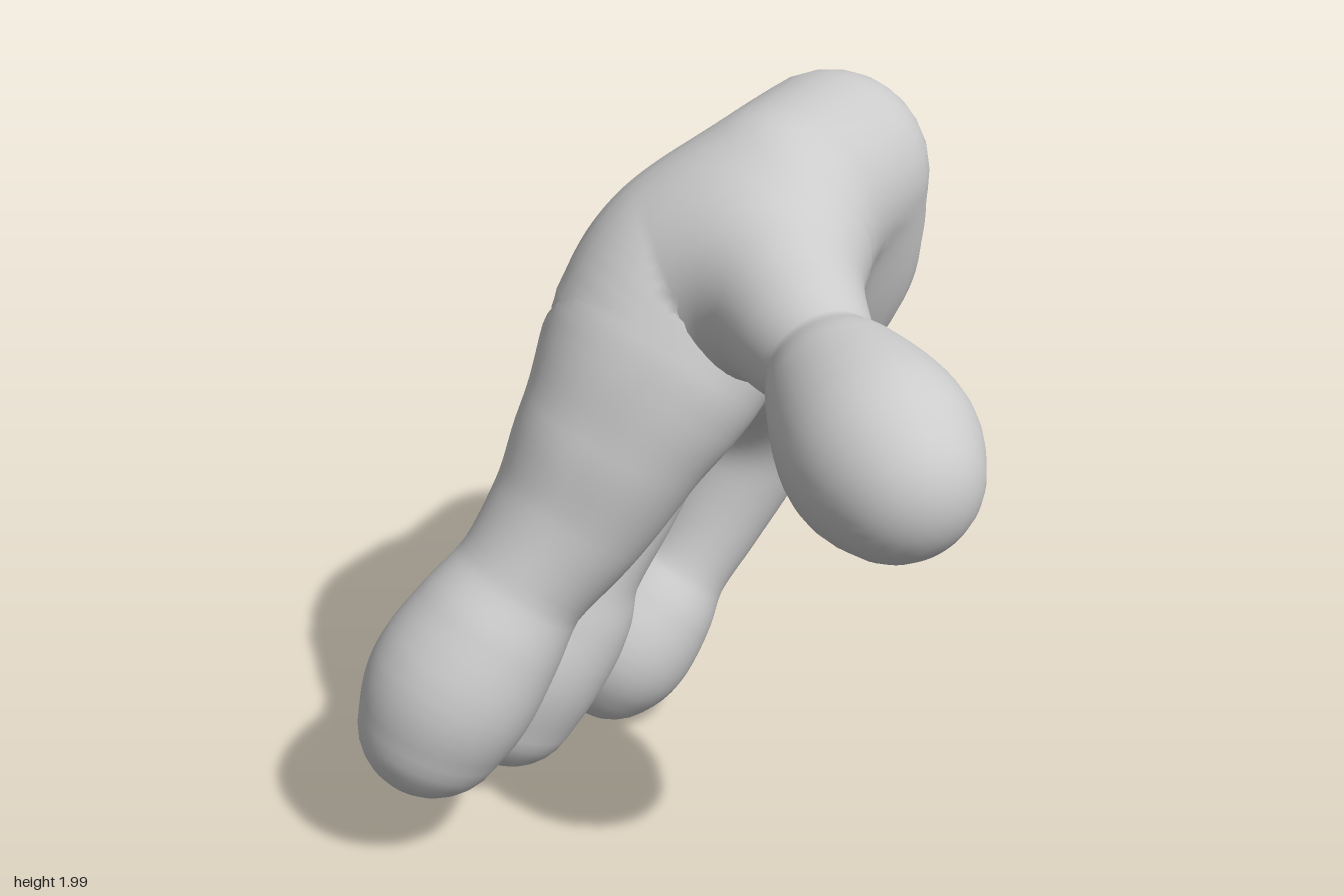
import * as THREE from 'three';

const V = (x, y, z) => new THREE.Vector3(x, y, z);
const SIDES = 44, STEPS = 48, CAP = 8;
const FILLET = 0.16; // width of the soft blend where fingers leave the palm
const SIDEWAYS = V(0.9, -0.42, 0.1).normalize(); // out of the palm's inner face
const AXES = [V(1, 0, 0), V(0, 1, 0), V(0, 0, 1)];
const material = new THREE.MeshStandardMaterial({ color: 0xcccccc });

// A part is a sweep of round-edged sections: segment a to b with radius r
const round = (x, y, z, r) => [V(x, y, z), V(x, y, z), r];

// front end, back end and half thickness, from wrist to knuckles
const PALM = [
  [V(0.08, 1.71, -0.18), V(0.13, 1.705, -0.53), 0.28],
  [V(-0.1, 1.56, -0.03), V(0.06, 1.42, -0.62), 0.3],
  [V(-0.17, 1.43, 0.04), V(-0.06, 1.21, -0.57), 0.285],
];
const FINGERS = {
  indexFinger: [
    round(-0.07, 1.5, 0.04, 0.2),
    [V(-0.18, 1.38, 0.15), V(-0.11, 1.35, 0.15), 0.235],
    [V(-0.28, 1.2, 0.24), V(-0.21, 1.17, 0.24), 0.222],
    [V(-0.36, 0.99, 0.31), V(-0.32, 0.97, 0.31), 0.2],
    round(-0.465, 0.78, 0.41, 0.19), round(-0.545, 0.64, 0.49, 0.222),
    round(-0.61, 0.52, 0.55, 0.237), round(-0.655, 0.41, 0.585, 0.21),
  ],
  middleFinger: [
    round(-0.18, 1.45, -0.25, 0.23), round(-0.265, 1.27, -0.2, 0.225),
    round(-0.28, 1.06, -0.135, 0.195), round(-0.34, 0.86, -0.055, 0.182),
    round(-0.42, 0.65, 0.05, 0.17), round(-0.48, 0.51, 0.085, 0.208),
    round(-0.545, 0.39, 0.14, 0.222), round(-0.595, 0.25, 0.185, 0.192),
  ],
  littleFinger: [
    round(-0.1, 1.27, -0.51, 0.25), round(-0.08, 1.03, -0.57, 0.23),
    round(-0.115, 0.82, -0.55, 0.192), round(-0.19, 0.61, -0.46, 0.157),
    round(-0.265, 0.45, -0.365, 0.142), round(-0.34, 0.34, -0.3, 0.19),
    round(-0.41, 0.25, -0.25, 0.22), round(-0.435, 0.19, -0.225, 0.19),
  ],
  thumb: [
    round(0.07, 1.61, -0.12, 0.2), round(0.13, 1.62, 0.06, 0.24),
    round(0.26, 1.59, 0.27, 0.192), round(0.39, 1.55, 0.43, 0.152),
    round(0.47, 1.515, 0.52, 0.2), round(0.58, 1.46, 0.645, 0.245),
    round(0.64, 1.43, 0.71, 0.217),
  ],
};

// Interpolate a part's sections along smooth curves
function sweep(sections) {
  const curve = (pick) => new THREE.CatmullRomCurve3(sections.map(pick), false, 'catmullrom', 0.5);
  const a = curve((s) => s[0]), b = curve((s) => s[1]), r = curve((s) => V(s[2], 0, 0));
  return Array.from({ length: STEPS + 1 }, (_, i) => {
    const t = i / STEPS;
    const d = a.getTangent(t).add(b.getTangent(t)).normalize();
    return { a: a.getPoint(t), b: b.getPoint(t), r: r.getPoint(t).x, d };
  });
}

// Distance from p to the surface of a sweep
const line = new THREE.Line3(), near = V(0, 0, 0);
function distance(p, part) {
  let best = Infinity;
  for (const { a, b, r } of part) {
    const dist = a.distanceToSquared(b) < 1e-8
      ? p.distanceTo(a)
      : line.set(a, b).closestPointToPoint(p, true, near).distanceTo(p);
    best = Math.min(best, dist - r);
  }
  return best;
}

// Move a skin point onto the soft union of its own part and its neighbours; returns the normal
function settle(p, own, neighbours) {
  const other = (q) => Math.min(...neighbours.map((n) => distance(q, n)));
  const field = (q) => {
    const d0 = distance(q, own), d1 = other(q);
    const h = Math.max(FILLET - Math.abs(d0 - d1), 0) / FILLET;
    return Math.min(d0, d1) - h * h * FILLET / 4;
  };
  const slope = (e) => V(...AXES.map((axis) => (
    field(p.clone().addScaledVector(axis, e)) - field(p.clone().addScaledVector(axis, -e))) / (2 * e)));
  // points past the seam sink gently below the neighbour's skin
  const depth = Math.max(0, -other(p) - 0.012);
  if (depth < 0.15) {
    for (let i = 0; i < 4; i++) {
      const g = slope(0.002);
      p.addScaledVector(g, -(field(p) + depth * 0.8) / Math.max(g.lengthSq(), 0.3));
    }
  }
  return slope(0.02).normalize();
}

// Skin a sweep with rings and rounded ends
function skin(name, part, neighbours) {
  const rows = part.map((s) => ({ s, phi: 0 }));
  for (let i = 1; i <= CAP; i++) {
    const phi = (i / CAP) * Math.PI / 2;
    rows.unshift({ s: part[0], phi: -phi });
    rows.push({ s: part[STEPS], phi });
  }
  const pos = [], normal = [], index = [];
  rows.forEach(({ s, phi }) => {
    const u = SIDEWAYS.clone().addScaledVector(s.d, -SIDEWAYS.dot(s.d)).normalize();
    const v = s.d.clone().cross(u);
    const across = s.a.clone().sub(s.b).normalize();
    for (let j = 0; j < SIDES; j++) {
      const t = (j / SIDES) * Math.PI * 2;
      const out = u.clone().multiplyScalar(Math.cos(t)).addScaledVector(v, Math.sin(t));
      const p = s.a.clone().lerp(s.b, (1 - out.dot(across)) / 2)
        .addScaledVector(out, s.r * Math.cos(phi))
        .addScaledVector(s.d, s.r * Math.sin(phi));
      normal.push(...settle(p, part, neighbours).toArray());
      pos.push(p.x, p.y, p.z);
    }
  });
  for (let i = 0; i < rows.length - 1; i++) {
    for (let j = 0; j < SIDES; j++) {
      const a = i * SIDES + j, b = i * SIDES + ((j + 1) % SIDES);
      index.push(a, b, a + SIDES, b, b + SIDES, a + SIDES);
    }
  }
  const g = new THREE.BufferGeometry();
  g.setAttribute('position', new THREE.Float32BufferAttribute(pos, 3));
  g.setAttribute('normal', new THREE.Float32BufferAttribute(normal, 3));
  g.setIndex(index);
  const mesh = new THREE.Mesh(g, material);
  mesh.name = name;
  return mesh;
}

export function createModel() {
  const hand = new THREE.Group();
  hand.name = 'hand';
  const palm = sweep(PALM);
  const fingers = Object.entries(FINGERS).map(([name, sections]) => [name, sweep(sections)]);
  hand.add(skin('palm', palm, fingers.map(([, part]) => part)));
  fingers.forEach(([name, part]) => hand.add(skin(name, part, [palm])));
  return hand;
}
